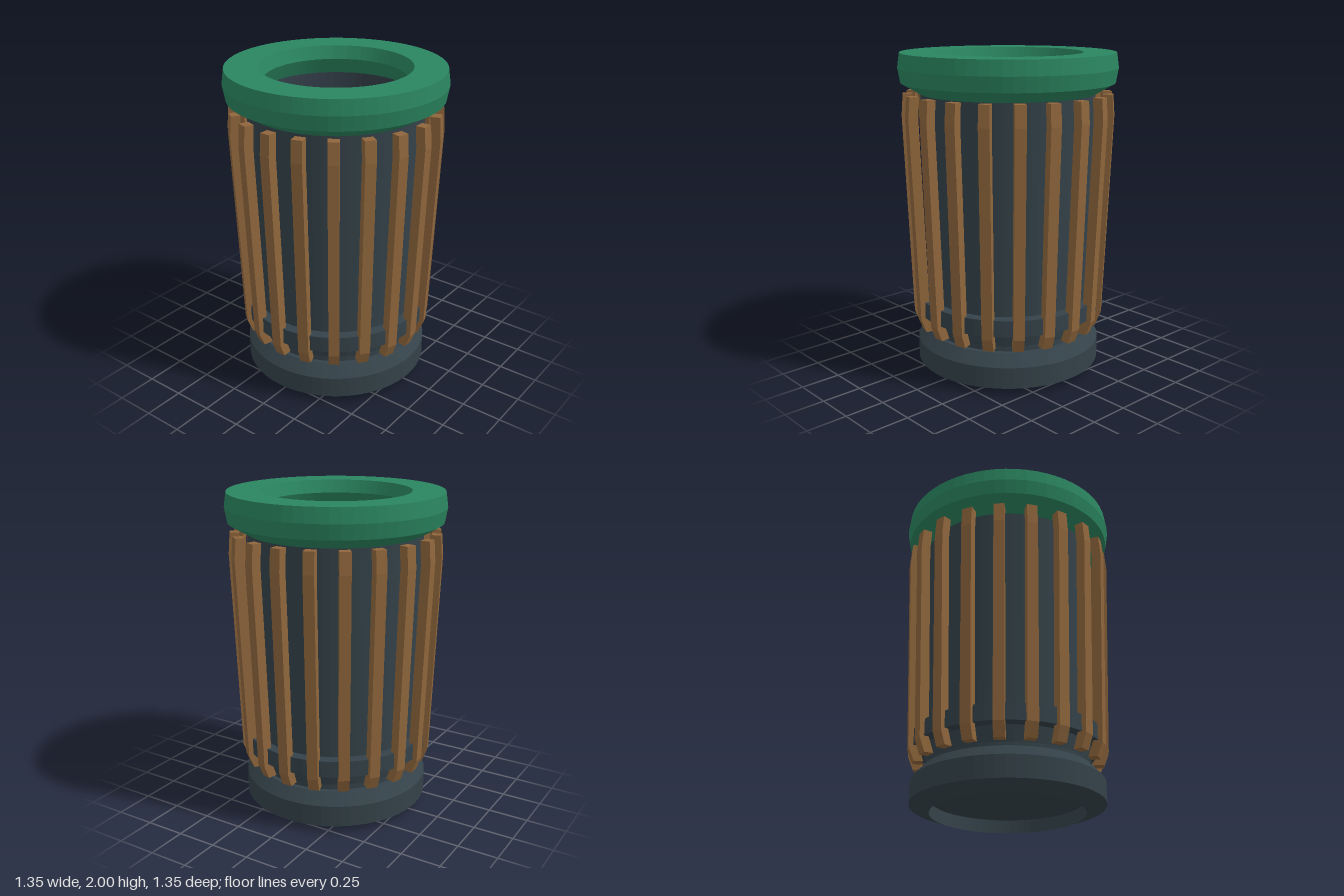
import * as THREE from 'three';

const SEGMENTS = 64;
const SLATS = 20;

const flat = (name, color) => {
  const m = new THREE.MeshStandardMaterial({ color, flatShading: true });
  m.name = name;
  return m;
};

const points = (list) => list.map(([x, y]) => new THREE.Vector2(x, y));

// Profiles run up the outside and down the inside, as [radius, height].
function turned(name, profile, material) {
  const mesh = new THREE.Mesh(new THREE.LatheGeometry(points(profile), SEGMENTS), material);
  mesh.name = name;
  return mesh;
}

export function createModel() {
  const green = flat('green lid', 0x2a845f);
  const wood = flat('brown wood', 0x8f663c);
  const metal = flat('dark grey metal', 0x344249);
  const lining = flat('dark lining', 0x333f49);

  const model = new THREE.Group();
  model.name = 'litterBin';

  // Foot with chamfered edges and a recess underneath
  model.add(turned('base', [
    [0, 0.083], [0.465, 0.083], [0.465, 0], [0.585, 0.045],
    [0.585, 0.178], [0.522, 0.248], [0.48, 0.248],
  ], metal));

  // Drum wall, widening a little towards the lid, with its lining and floor
  model.add(turned('drum', [[0.495, 0.24], [0.495, 0.28], [0.515, 0.38], [0.538, 1.77]], metal));
  model.add(turned('lining', [[0.478, 1.83], [0.478, 0.13], [0, 0.13]], lining));

  // Ring that carries the slats, let into their inner faces
  model.add(turned('slatRing', [
    [0.505, 0.374], [0.582, 0.374], [0.582, 0.476], [0.505, 0.476],
  ], metal));

  // Ring-shaped lid with a funnelled opening
  model.add(turned('lid', [
    [0.478, 1.82], [0.485, 1.753], [0.542, 1.753], [0.658, 1.82], [0.674, 1.91],
    [0.661, 2], [0.46, 2], [0.43, 1.92], [0.478, 1.82],
  ], green));

  // Bent wooden slats around the drum
  const width = 0.066;
  const outline = new THREE.Shape(points([
    [0.518, 0.28], [0.575, 0.277], [0.608, 0.362], [0.655, 1.625],
    [0.645, 1.755], [0.586, 1.755], [0.595, 1.625], [0.55, 0.372],
  ]));
  const slatGeometry = new THREE.ExtrudeGeometry(outline, { depth: width, bevelEnabled: false });
  slatGeometry.translate(0, 0, -width / 2);
  const slats = new THREE.Group();
  slats.name = 'slats';
  for (let i = 0; i < SLATS; i++) {
    const slat = new THREE.Mesh(slatGeometry, wood);
    slat.name = 'slat';
    slat.rotation.y = (i / SLATS) * Math.PI * 2;
    slats.add(slat);
  }
  model.add(slats);

  return model;
}
